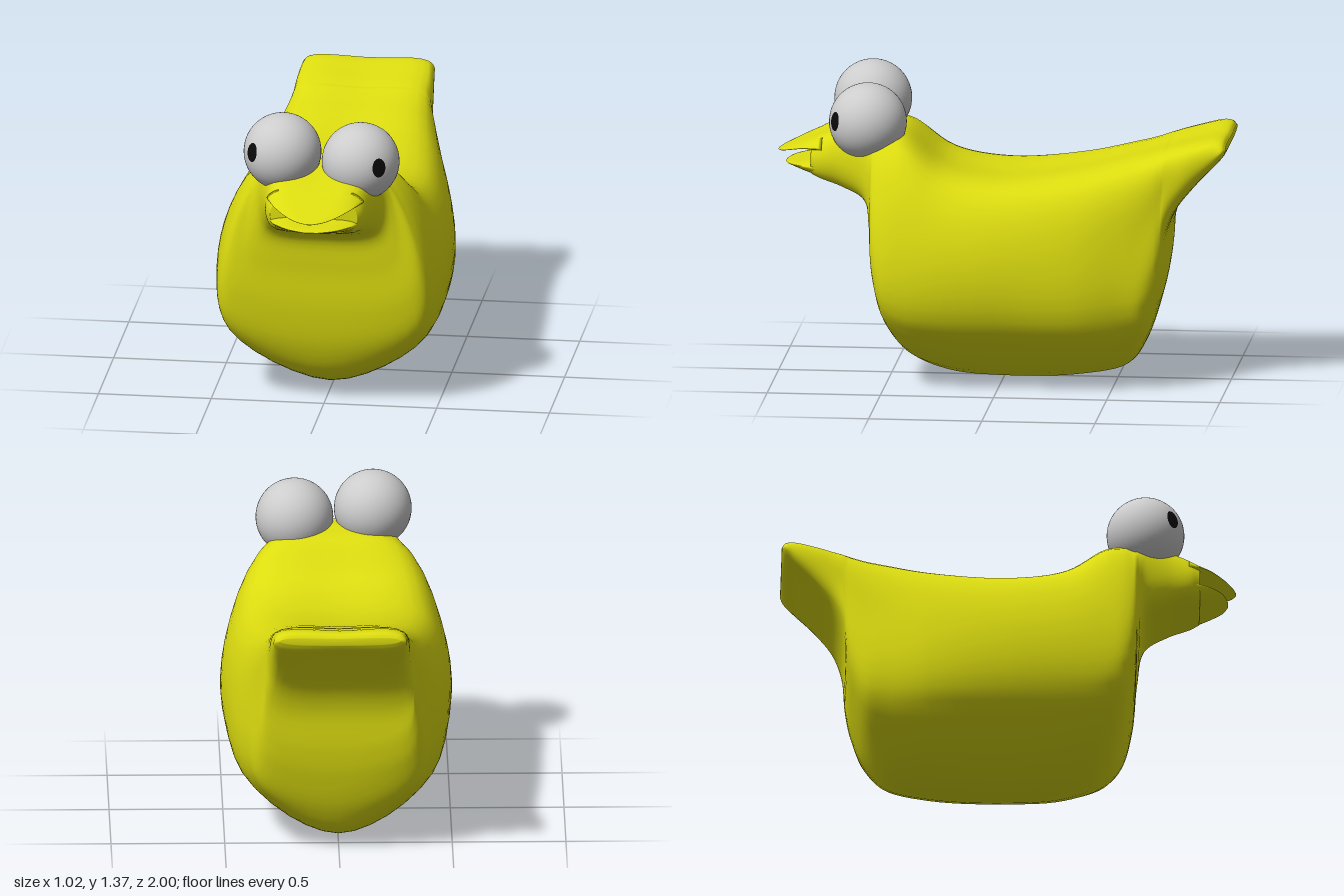
import * as THREE from 'three';

const yellow = new THREE.MeshStandardMaterial({ name: 'duck yellow', color: 0xdcdc10 });
const white = new THREE.MeshStandardMaterial({ name: 'eye white', color: 0xcccccc });
const black = new THREE.MeshStandardMaterial({ name: 'pupil black', color: 0x0a0a0a });

// Cross-sections: z, top y, top half-width, middle y, middle half-width,
// chine y, chine half-width, bottom y
const TAIL = [
  [-1.0, 1.1, 0.24, 1.09, 0.265, 1.08, 0.24, 1.07],
  [-0.985, 1.115, 0.26, 1.08, 0.29, 1.055, 0.26, 1.045],
  [-0.95, 1.118, 0.27, 1.06, 0.295, 1.02, 0.27, 1.01],
  [-0.85, 1.095, 0.28, 1.0, 0.305, 0.92, 0.27, 0.895],
  [-0.77, 1.075, 0.28, 0.93, 0.312, 0.82, 0.28, 0.79],
  [-0.73, 1.062, 0.285, 0.9, 0.318, 0.72, 0.3, 0.68],
  [-0.715, 1.06, 0.285, 0.85, 0.325, 0.56, 0.3, 0.5],
  [-0.69, 1.052, 0.29, 0.8, 0.338, 0.45, 0.32, 0.36],
];
const TORSO = [
  [-0.63, 1.035, 0.3, 0.72, 0.365, 0.33, 0.35, 0.18],
  [-0.55, 1.015, 0.31, 0.69, 0.395, 0.3, 0.37, 0.07],
  [-0.35, 0.965, 0.34, 0.66, 0.455, 0.28, 0.42, 0.02],
  [0, 0.925, 0.38, 0.63, 0.5, 0.28, 0.44, 0.005],
  [0.25, 0.975, 0.36, 0.63, 0.5, 0.28, 0.44, 0.03],
  [0.42, 1.11, 0.31, 0.64, 0.48, 0.3, 0.43, 0.11],
  [0.5, 1.135, 0.28, 0.66, 0.46, 0.36, 0.42, 0.24],
  [0.55, 1.145, 0.25, 0.72, 0.42, 0.52, 0.39, 0.45],
];
const HEAD = [
  [0.57, 1.145, 0.245, 0.83, 0.33, 0.7, 0.3, 0.66],
  [0.6, 1.145, 0.235, 0.93, 0.28, 0.83, 0.24, 0.8],
  [0.7, 1.12, 0.2, 0.98, 0.24, 0.88, 0.2, 0.86],
  [0.8, 1.085, 0.17, 1.0, 0.215, 0.915, 0.19, 0.895],
  [0.84, 1.065, 0.14, 1.0, 0.19, 0.93, 0.17, 0.905],
];
const UPPER_BILL = [
  [0.79, 1.087, 0.17, 1.045, 0.215, 1.03, 0.19, 1.03],
  [0.88, 1.052, 0.12, 1.035, 0.172, 1.028, 0.14, 1.025],
  [0.94, 1.026, 0.08, 1.018, 0.12, 1.013, 0.1, 1.01],
  [0.98, 1.01, 0.05, 1.004, 0.066, 1.0, 0.05, 0.998],
  [1.0, 1.0, 0.012, 0.998, 0.016, 0.997, 0.012, 0.996],
];
const LOWER_BILL = [
  [0.79, 0.98, 0.18, 0.955, 0.212, 0.915, 0.18, 0.895],
  [0.88, 0.965, 0.13, 0.955, 0.17, 0.935, 0.14, 0.918],
  [0.94, 0.957, 0.08, 0.952, 0.105, 0.945, 0.08, 0.938],
  [0.965, 0.95, 0.02, 0.948, 0.03, 0.946, 0.02, 0.945],
];

// Smooth closed surface through mirrored cross-sections
function loft(rows, perRow, around = 48) {
  const rings = rows.map(([z, yt, wt, ym, wm, yc, wc, yb]) => {
    const ye = yt - 0.1 * (yt - ym);
    return [[0, yt], [wt, ye], [wm, ym], [wc, yc], [0, yb], [-wc, yc], [-wm, ym], [-wt, ye]]
      .map(([x, y]) => new THREE.Vector3(x, y, z));
  });
  const tracks = rings[0].map((_, k) => new THREE.CatmullRomCurve3(rings.map((r) => r[k])));
  const steps = (rows.length - 1) * perRow;
  const pos = [], index = [];
  for (let i = 0; i <= steps; i++) {
    const ring = new THREE.CatmullRomCurve3(tracks.map((t) => t.getPoint(i / steps)), true);
    for (let j = 0; j < around; j++) pos.push(...ring.getPoint(j / around).toArray());
  }
  const start = (steps + 1) * around, end = start + 1, last = steps * around;
  for (const r of [rows[0], rows[rows.length - 1]]) pos.push(0, (r[1] + r[7]) / 2, r[0]);
  for (let j = 0; j < around; j++) {
    const n = (j + 1) % around;
    for (let i = 0; i < steps; i++) {
      const a = i * around + j, b = i * around + n;
      index.push(a, a + around, b, b, a + around, b + around);
    }
    index.push(start, j, n, end, last + n, last + j);
  }
  const g = new THREE.BufferGeometry();
  g.setAttribute('position', new THREE.Float32BufferAttribute(pos, 3));
  g.setIndex(index);
  g.computeVertexNormals();
  return g;
}

function part(name, geometry, material) {
  const mesh = new THREE.Mesh(geometry, material);
  mesh.name = name;
  return mesh;
}

// Oval patch lying on the surface of an eyeball, facing +z
function pupilGeometry(r) {
  const g = new THREE.SphereGeometry(r, 24, 6, 0, Math.PI * 2, 0, 0.25);
  g.rotateX(Math.PI / 2).scale(0.75, 1, 1);
  const p = g.attributes.position, v = new THREE.Vector3();
  for (let i = 0; i < p.count; i++) {
    v.fromBufferAttribute(p, i).setLength(r * 1.008);
    p.setXYZ(i, v.x, v.y, v.z);
  }
  g.computeVertexNormals();
  return g;
}

function eye(name, center, gaze) {
  const r = 0.171;
  const group = new THREE.Group();
  group.name = name;
  const pupil = part('pupil', pupilGeometry(r), black);
  pupil.lookAt(new THREE.Vector3(...gaze));
  group.add(part('eyeball', new THREE.SphereGeometry(r, 48, 32), white), pupil);
  group.position.set(...center);
  return group;
}

export function createModel() {
  const model = new THREE.Group();
  model.name = 'duck';
  model.add(
    part('body', loft([...TAIL, ...TORSO, ...HEAD], 6), yellow),
    part('upperBill', loft(UPPER_BILL, 6), yellow),
    part('lowerBill', loft(LOWER_BILL, 6), yellow),
    eye('rightEye', [-0.17, 1.2, 0.6], [-0.12, 0.027, 0.118]),
    eye('leftEye', [0.175, 1.165, 0.588], [0.1, 0.017, 0.137]),
  );
  return model;
}
